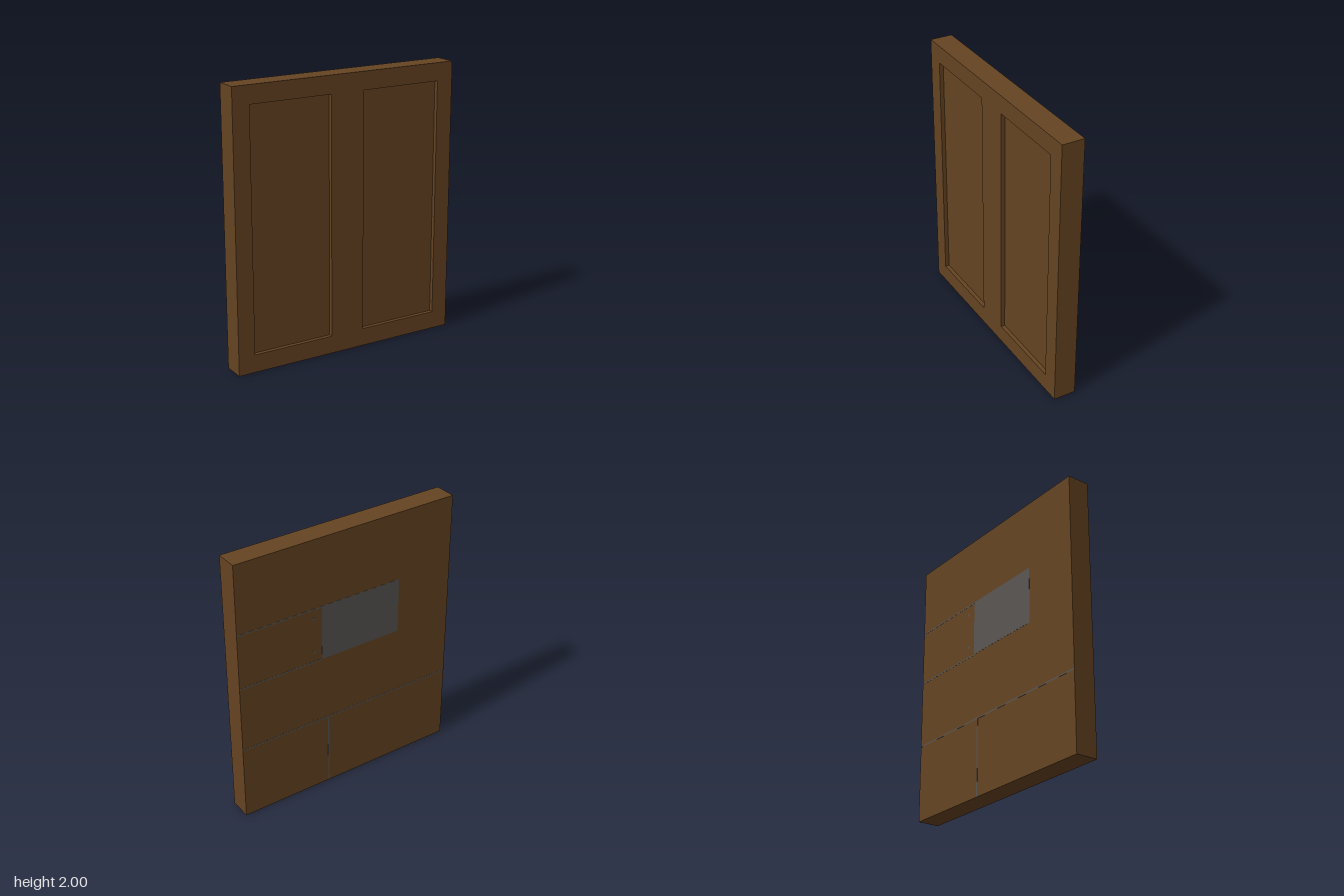
import * as THREE from 'three';

export function createModel() {
  const group = new THREE.Group();
  group.name = 'panelledDoor';
  const wood = new THREE.MeshStandardMaterial({ color: 0x654321 });
  wood.name = 'brown wood';
  const metal = new THREE.MeshStandardMaterial({ color: 0x585552 });
  metal.name = 'dark grey';

  const W = 0.87, H = 2, Z = 0.082, RECESS = 0.03;

  const box = (name, mat, x0, x1, y0, y1, z0, z1) => {
    const mesh = new THREE.Mesh(new THREE.BoxGeometry(x1 - x0, y1 - y0, z1 - z0), mat);
    mesh.position.set((x0 + x1) / 2, (y0 + y1) / 2, (z0 + z1) / 2);
    mesh.name = name;
    group.add(mesh);
  };
  const rect = (path, x0, x1, y0, y1) =>
    path.moveTo(x0, y0).lineTo(x1, y0).lineTo(x1, y1).lineTo(x0, y1).closePath();

  // Solid slab, which also forms the floor of the recesses
  box('slab', wood, -W, W, 0, H, -Z, Z - RECESS);

  // Front frame with two tall recessed panels
  const shape = rect(new THREE.Shape(), -W, W, 0, H);
  for (const [a, b] of [[-0.745, -0.13], [0.13, 0.745]]) {
    shape.holes.push(rect(new THREE.Path(), a, b, 0.13, 1.87));
  }
  const frame = new THREE.Mesh(
    new THREE.ExtrudeGeometry(shape, { depth: RECESS, bevelEnabled: false }), wood);
  frame.position.z = Z - RECESS;
  frame.name = 'frontFrame';
  group.add(frame);

  // Thin grey inlays on the back: one plate, seams between boards, two pins
  const inlay = (name, x0, x1, y0, y1) => box(name, metal, x0, x1, y0, y1, -Z - 0.001, -Z + 0.001);
  const s = 0.005;
  inlay('backPlate', -0.425, 0.215, 1.07, 1.483);
  inlay('upperSeam', -0.425, W, 1.483 - s, 1.483 + s);
  inlay('middleSeam', 0.215, W, 1.07 - s, 1.07 + s);
  inlay('lowerSeam', -W, W, 0.569 - s, 0.569 + s);
  inlay('uprightSeam', 0.167 - s, 0.167 + s, 0, 0.569 - s);
  for (const y of [1.41, 1.15]) inlay('pin', 0.27, 0.29, y - 0.01, y + 0.01);

  return group;
}
